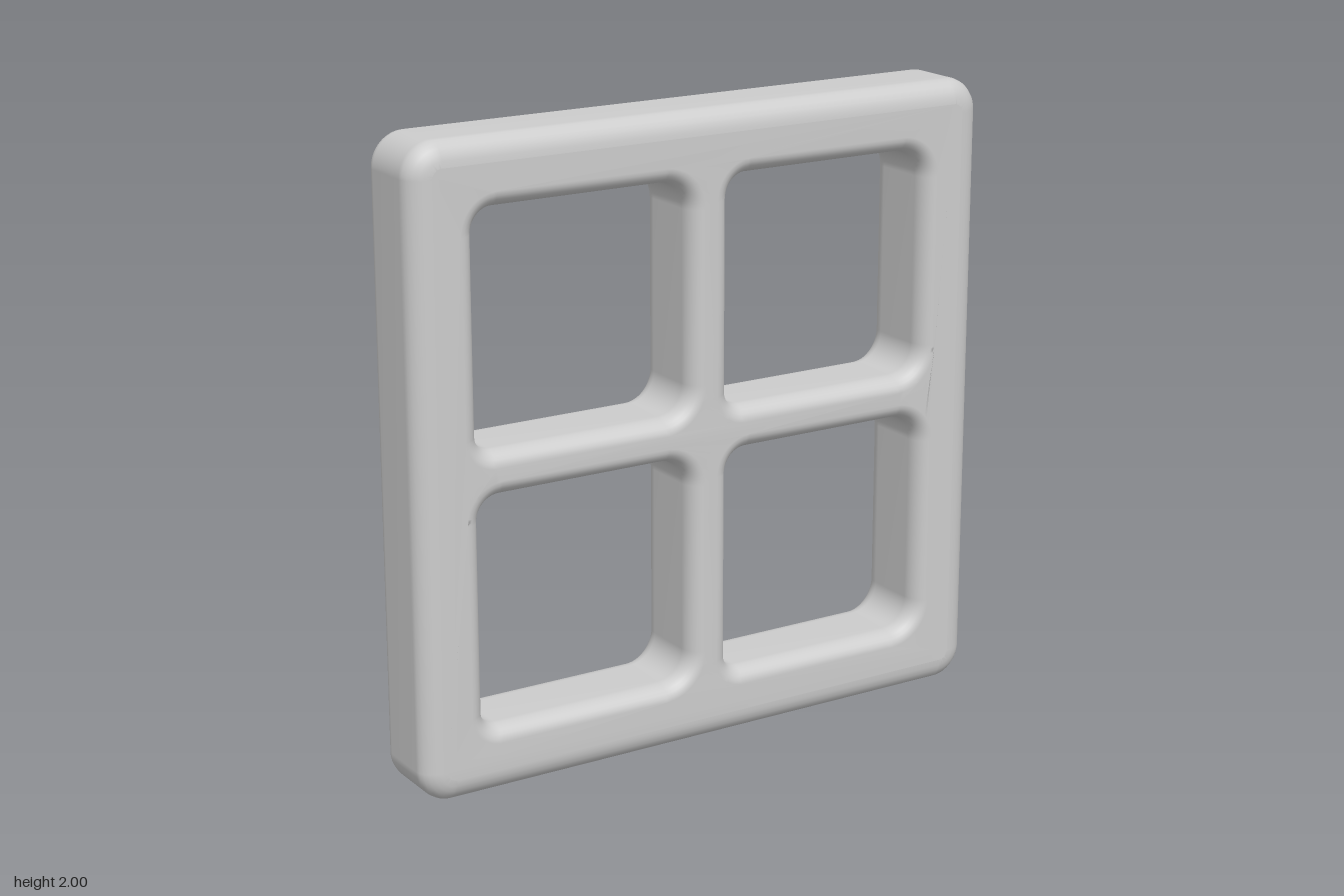
import * as THREE from 'three';
import { mergeVertices } from 'three/addons/utils/BufferGeometryUtils.js';

// Rounded rectangle; radii in order: bottom left, bottom right, top right, top left
function roundedRect(path, x0, y0, x1, y1, [bl, br, tr, tl]) {
  const q = Math.PI / 2;
  path.absarc(x0 + bl, y0 + bl, bl, 2 * q, 3 * q);
  path.absarc(x1 - br, y0 + br, br, 3 * q, 4 * q);
  path.absarc(x1 - tr, y1 - tr, tr, 0, q);
  path.absarc(x0 + tl, y1 - tl, tl, q, 2 * q);
  path.closePath();
  return path;
}

export function createModel() {
  const group = new THREE.Group();
  group.name = 'windowFrame';
  const grey = new THREE.MeshStandardMaterial({ color: 0xcccccc });
  grey.name = 'lightGrey';

  const halfDepth = 0.14, bevel = 0.05, bevelDepth = 0.06;

  // Outer frame with four rounded panes cut out, leaving the crossing bars
  const shape = roundedRect(new THREE.Shape(), -1, -1, 1, 1, [0.07, 0.07, 0.07, 0.07]);
  for (const x of [-0.43, 0.43]) {
    for (const y of [-0.43, 0.43]) {
      shape.holes.push(roundedRect(new THREE.Path(),
        x - 0.36, y - 0.36, x + 0.36, y + 0.36, [0.05, 0.09, 0.09, 0.07]));
    }
  }
  let geometry = new THREE.ExtrudeGeometry(shape, {
    depth: 2 * (halfDepth - bevelDepth),
    bevelThickness: bevelDepth,
    bevelSize: bevel,
    bevelOffset: -bevel,
    bevelSegments: 6,
    curveSegments: 8,
  });
  geometry.translate(0, 0, -(halfDepth - bevelDepth));

  // Widen the rounding along the outer edge only
  const p = geometry.attributes.position;
  const widen = (v) => (Math.abs(v) > 0.9 ? Math.sign(v) * (1 - (1 - Math.abs(v)) * 1.5) : v);
  for (let i = 0; i < p.count; i++) p.setXY(i, widen(p.getX(i)), widen(p.getY(i)));

  // Smooth normals over the whole surface
  geometry.deleteAttribute('normal');
  geometry.deleteAttribute('uv');
  geometry.clearGroups();
  geometry = mergeVertices(geometry, 1e-4);
  geometry.computeVertexNormals();
  geometry.translate(0, 1, 0);

  const frame = new THREE.Mesh(geometry, grey);
  frame.name = 'frameAndCrossBars';
  group.add(frame);
  return group;
}
